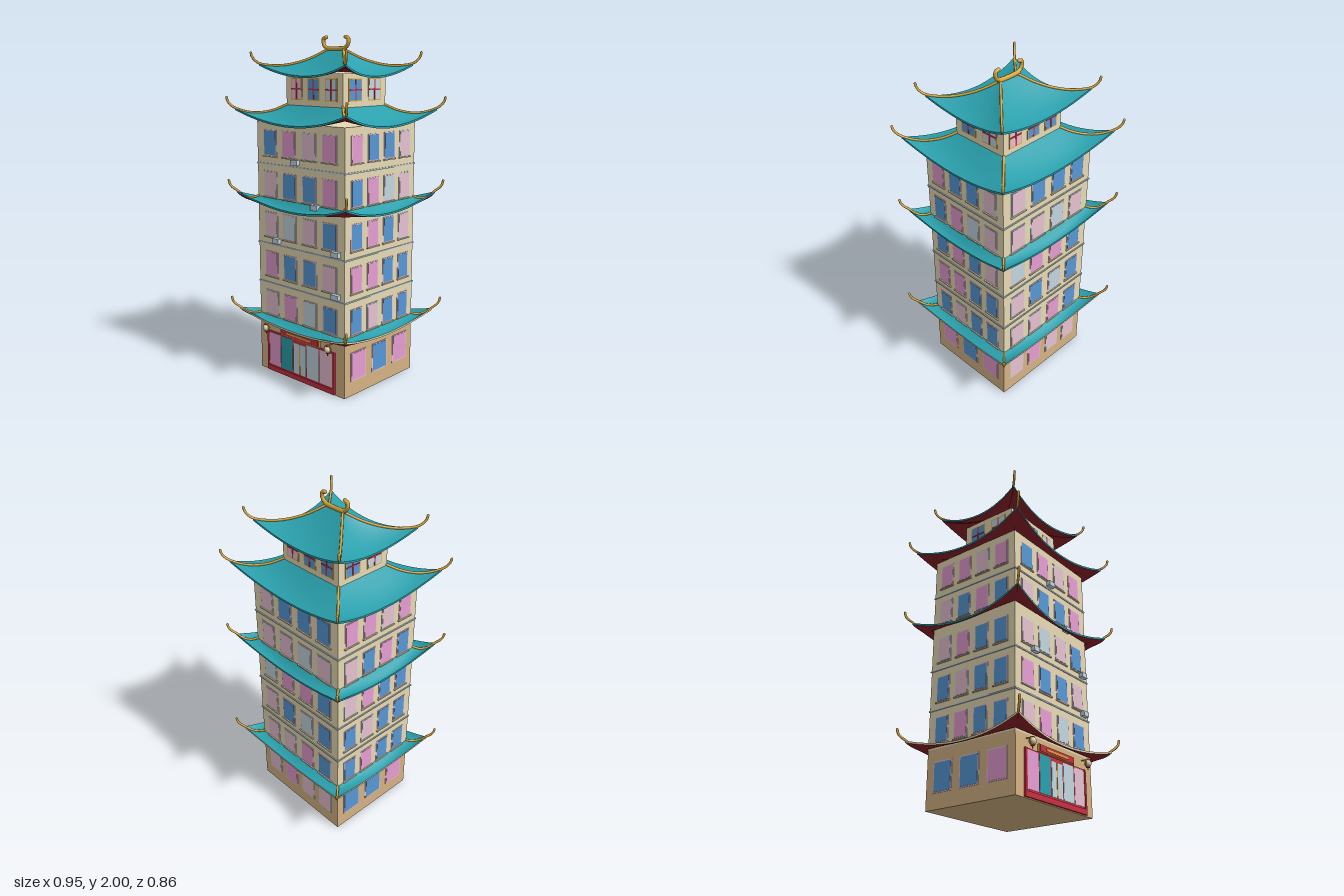
import * as THREE from 'three';

const mat = (name, color) =>
  Object.assign(new THREE.MeshStandardMaterial({ color }), { name });

export function createModel() {
  const M = {
    cream: mat('cream wall', 0xf2e4bc), tan: mat('tan stone', 0xd5b384),
    teal: mat('teal tile', 0x2aa0ac), gold: mat('gold', 0xdaa63a),
    maroon: mat('maroon soffit', 0x8a2028), red: mat('red lacquer', 0xc83042),
    B: mat('blue glass', 0x5698d6), P: mat('pink glass', 0xe69ed2),
    L: mat('pale pink glass', 0xe8c2d2), G: mat('pale blue glass', 0xc2d6e0),
  };
  const model = new THREE.Group();
  model.name = 'pagodaTower';

  const add = (parent, name, geo, material, x = 0, y = 0, z = 0) => {
    const m = new THREE.Mesh(geo, material);
    m.name = name;
    m.position.set(x, y, z);
    parent.add(m);
    return m;
  };
  const box = (parent, name, material, w, h, d, x, y, z) =>
    add(parent, name, new THREE.BoxGeometry(w, h, d), material, x, y, z);
  const tube = (parent, name, pts, r, n = 24) => {
    const path = new THREE.CatmullRomCurve3(pts);
    add(parent, name, new THREE.TubeGeometry(path, n, r, 8), M.gold);
    for (const p of [pts[0], pts[pts.length - 1]])
      add(parent, name + 'End', new THREE.SphereGeometry(r, 8, 6), M.gold, p.x, p.y, p.z);
  };

  // Walls and floor bands
  box(model, 'groundFloor', M.tan, 0.69, 0.33, 0.6, 0, 0.165, 0);
  box(model, 'tower', M.cream, 0.69, 1.185, 0.6, 0, 0.9225, 0);
  box(model, 'topRoom', M.cream, 0.44, 0.24, 0.36, 0, 1.67, 0);
  for (const y of [0.555, 0.795, 1.27])
    box(model, 'floorBand', M.G, 0.7, 0.008, 0.61, 0, y, 0);

  // Windows, laid out on each face from the viewer's left to right
  const faces = [
    { name: 'front', x: [-0.235, -0.08, 0.08, 0.235], w: 0.095, out: 0.3,
      rows: ['BPLP', 'LBBP', 'LGLB', 'PBBL', 'LPGB'], top: 'LBG', topOut: 0.18 },
    { name: 'leftSide', x: [-0.205, -0.068, 0.068, 0.205], w: 0.082, out: 0.345,
      rows: ['PBBL', 'BPGL', 'BPBL', 'PPBB', 'BLBB'], top: 'BG', topOut: 0.22, ground: 'PBP' },
    { name: 'back', x: [-0.235, -0.08, 0.08, 0.235], w: 0.095, out: 0.3,
      rows: ['LBBB', 'LLGL', 'GPPB', 'LBGB', 'LLPB'], top: 'LBB', topOut: 0.18, ground: 'LPLL' },
    { name: 'rightSide', x: [-0.205, -0.068, 0.068, 0.205], w: 0.082, out: 0.345,
      rows: ['PPLP', 'LBPB', 'LPBB', 'BLBB', 'BPBB'], top: 'BG', topOut: 0.22, ground: 'BBP' },
  ];
  const pane = (g, code, frame, w, h, x, y, z) => {
    box(g, 'windowFrame', frame, w + 0.012, h + 0.012, 0.006, x, y, z);
    box(g, 'windowPane', M[code], w, h, 0.009, x, y, z);
  };
  const trim = code => (code === 'L' ? M.G : M.L);
  faces.forEach((f, k) => {
    const g = new THREE.Group();
    g.name = f.name + 'Windows';
    g.rotation.y = k * Math.PI / 2;
    model.add(g);
    f.rows.forEach((row, r) => [...row].forEach((c, i) => {
      const y = 1.395 - r * 0.24;
      pane(g, c, trim(c), f.w, 0.138, f.x[i], y, f.out);
      box(g, 'windowSill', M.cream, f.w + 0.022, 0.007, 0.014, f.x[i], y - 0.079, f.out + 0.002);
    }));
    if (f.ground) [...f.ground].forEach((c, i, a) => {
      const side = a.length === 3;
      pane(g, c, trim(c), side ? 0.118 : 0.1, 0.158, side ? (i - 1) * 0.185 : f.x[i], 0.172, f.out);
    });
    // Top room windows with gold frames and red crossbars
    [...f.top].forEach((c, i, a) => {
      const x = (i - (a.length - 1) / 2) * (a.length === 3 ? 0.135 : 0.16);
      const w = a.length === 3 ? 0.08 : 0.095;
      pane(g, c, M.gold, w, 0.112, x, 1.7, f.topOut);
      box(g, 'crossbar', M.red, 0.008, 0.112, 0.004, x, 1.7, f.topOut + 0.005);
      box(g, 'crossbar', M.red, w, 0.008, 0.004, x, 1.7, f.topOut + 0.005);
    });
  });

  // Curved hipped roofs: inner, mid and corner are half sizes along x and z
  const roof = (name, r) => {
    const g = new THREE.Group();
    g.name = name;
    model.add(g);
    const T = 0.011, NU = 20, NV = 8;
    const point = (k, u, v, drop = 0) => {
      const along = k % 2 ? 1 : 0, across = 1 - along;
      const a = u * THREE.MathUtils.lerp(r.inner[along], r.corner[along], v);
      const edge = r.mid[across] + (r.corner[across] - r.mid[across]) * u * u;
      const o = THREE.MathUtils.lerp(r.inner[across], edge, v);
      const y = r.top + (r.eave - r.top) * (1 - Math.pow(1 - v, 1.6)) + r.lift * u * u * v * v - drop;
      return [[a, y, o], [o, y, -a], [-a, y, -o], [-o, y, a]][k];
    };
    // One sheet per side; f maps (side, s, t) to a point
    const sheet = (label, f, nt, material) => {
      const pos = [], idx = [];
      for (let k = 0; k < 4; k++) {
        const base = pos.length / 3;
        for (let i = 0; i <= NU; i++)
          for (let j = 0; j <= nt; j++) pos.push(...f(k, -1 + 2 * i / NU, j / nt));
        for (let i = 0; i < NU; i++)
          for (let j = 0; j < nt; j++) {
            const p = base + i * (nt + 1) + j, q = p + nt + 1;
            idx.push(p, p + 1, q + 1, p, q + 1, q);
          }
      }
      const geo = new THREE.BufferGeometry();
      geo.setAttribute('position', new THREE.Float32BufferAttribute(pos, 3));
      geo.setIndex(idx);
      geo.computeVertexNormals();
      add(g, label, geo, material);
    };
    sheet('roofTiles', (k, u, v) => point(k, u, v), NV, M.teal);
    sheet('roofEdge', (k, u, t) => point(k, u, 1, t * T), 1, r.edge || M.teal);
    sheet('roofSoffit', (k, u, v) => point(k, -u, v, T), NV, M.maroon);
    // Gold hip ridges with upturned tips
    for (let k = 0; k < 4; k++) {
      const pts = [0, 0.25, 0.5, 0.75, 1].map(v => new THREE.Vector3(...point(k, 1, v, -0.003)));
      const c = pts[4], sx = Math.sign(c.x), sz = Math.sign(c.z);
      for (const [d, h] of [[0.018, 0.018], [0.029, 0.038], [0.033, 0.06]])
        pts.push(new THREE.Vector3(c.x + sx * d, c.y + h, c.z + sz * d));
      tube(g, 'hipRidge', pts, 0.0072, 28);
    }
  };
  const wide = { mid: [0.405, 0.36], corner: [0.435, 0.39] };
  roof('lowerRoof', { ...wide, inner: [0.343, 0.298], top: 0.352, eave: 0.324, lift: 0.06, edge: M.cream });
  roof('middleRoof', { ...wide, inner: [0.343, 0.298], top: 1.074, eave: 1.028, lift: 0.076 });
  roof('upperRoof', { ...wide, inner: [0.218, 0.178], top: 1.608, eave: 1.508, lift: 0.08 });
  roof('topRoof', { inner: [0.06, 0], mid: [0.305, 0.262], corner: [0.335, 0.285],
    top: 1.92, eave: 1.775, lift: 0.065 });

  // Top ridge with curled finials
  tube(model, 'topRidge', [[-0.07, 1.926], [0, 1.924], [0.07, 1.926]]
    .map(([x, y]) => new THREE.Vector3(x, y, 0)), 0.013);
  for (const s of [-1, 1])
    tube(model, 'finial', [[0.062, 1.928], [0.085, 1.938], [0.097, 1.96], [0.094, 1.982], [0.075, 1.989]]
      .map(([x, y]) => new THREE.Vector3(s * x, y, 0)), 0.011);

  // Entrance: red frame, glazed panels and doors
  const door = new THREE.Group();
  door.name = 'entrance';
  model.add(door);
  box(door, 'entranceFrame', M.red, 0.55, 0.25, 0.012, 0, 0.13, 0.302);
  box(door, 'entranceBase', M.red, 0.55, 0.03, 0.02, 0, 0.02, 0.302);
  for (const [x, w, h, m] of [[-0.212, 0.096, 0.202, M.P], [-0.108, 0.096, 0.202, M.teal],
    [-0.026, 0.046, 0.188, M.G], [0.026, 0.046, 0.188, M.G], [0.106, 0.096, 0.202, M.G], [0.21, 0.096, 0.202, M.L]])
    box(door, 'entrancePanel', m, w, h, 0.006, x, 0.045 + h / 2, 0.307);
  box(door, 'doorHandle', M.gold, 0.008, 0.188, 0.004, 0, 0.139, 0.31);
  for (const s of [-1, 1])
    box(door, 'entrancePost', M.red, 0.015, 0.25, 0.02, s * 0.268, 0.13, 0.302);
  box(door, 'signBorder', M.gold, 0.32, 0.042, 0.014, 0, 0.278, 0.306);
  box(door, 'signBoard', M.red, 0.306, 0.034, 0.008, 0, 0.278, 0.312);
  box(door, 'signInlay', M.gold, 0.2, 0.012, 0.004, 0, 0.278, 0.316);

  // Hanging lanterns
  for (const s of [-1, 1]) {
    const l = new THREE.Group();
    l.name = 'lantern';
    l.position.set(s * 0.255, 0.283, 0.34);
    door.add(l);
    add(l, 'lanternBody', new THREE.SphereGeometry(0.021, 14, 10), M.cream);
    for (const e of [-1, 1])
      add(l, 'lanternCap', new THREE.CylinderGeometry(0.011, 0.011, 0.008, 10), M.red, 0, e * 0.02, 0);
    add(l, 'lanternRing', new THREE.TorusGeometry(0.022, 0.004, 6, 20), M.gold);
    add(l, 'lanternTassel', new THREE.CylinderGeometry(0.002, 0.004, 0.014, 6), M.red, 0, -0.03, 0);
    box(l, 'lanternBracket', M.gold, 0.005, 0.005, 0.042, 0, 0.022, -0.02);
  }

  // Air conditioning boxes on the front wall
  for (const [x, y] of [[-0.02, 1.3], [0.135, 1.065], [-0.18, 0.825], [0.29, 0.825], [0.29, 0.585]])
    box(model, 'airConditioner', M.G, 0.05, 0.03, 0.028, x, y, 0.312);

  return model;
}
